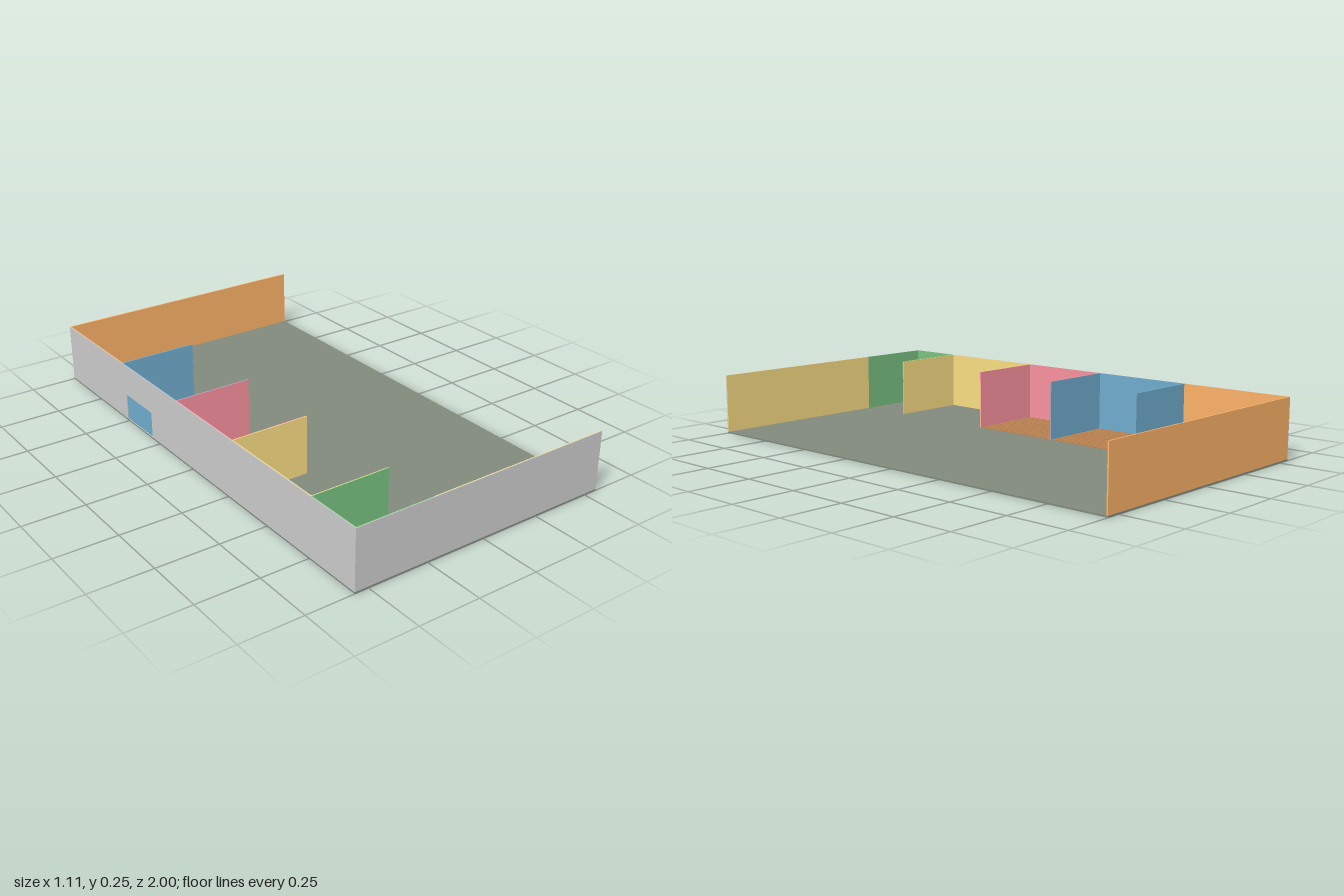
import * as THREE from 'three';

const W = 0.556, H = 0.245, FLOOR = 0.006, T = 0.003; // half width, wall height, floor and panel thickness
const ROOM_X = -0.23; // open end of the partitions

const material = (color) => new THREE.MeshStandardMaterial({ color, roughness: 1 });
const mats = {
  grey: material(0xcccccc),
  floor: material(0x808a7c),
  brick: material(0xb8814f),
  green: material(0x78c280),
  yellow: material(0xfadd83),
  pink: material(0xfa929e),
  blue: material(0x70accd),
  orange: material(0xfcb268),
};

// Box given by its minimum and maximum along each axis
function block(name, mat, [x0, x1], [y0, y1], [z0, z1]) {
  const mesh = new THREE.Mesh(new THREE.BoxGeometry(x1 - x0, y1 - y0, z1 - z0), mat);
  mesh.position.set((x0 + x1) / 2, (y0 + y1) / 2, (z0 + z1) / 2);
  mesh.name = name;
  return mesh;
}

// Running-bond brick paving over a room floor
function brickFloor(name, z0, z1, shift) {
  const group = new THREE.Group();
  group.name = name;
  const x0 = -W + 2 * T, length = 0.14, gap = 0.002;
  group.add(block('brickBed', mats.brick, [x0, ROOM_X], [FLOOR, FLOOR + 0.001], [z0, z1]));
  const rows = Math.round((z1 - z0) / 0.028);
  const depth = (z1 - z0) / rows;
  for (let r = 0; r < rows; r++) {
    const z = z0 + r * depth;
    const start = x0 - shift - (r % 2) * length / 2;
    for (let x = start; x < ROOM_X; x += length) {
      const a = Math.max(x, x0), b = Math.min(x + length - gap, ROOM_X);
      if (b - a < 0.005) continue;
      group.add(block('brick', mats.brick, [a, b], [FLOOR + 0.001, FLOOR + 0.002], [z, z + depth - gap]));
    }
  }
  return group;
}

export function createModel() {
  const model = new THREE.Group();
  model.name = 'openFloorWithRooms';
  const wallY = [FLOOR, H];

  model.add(block('floor', mats.floor, [-W, W], [0, FLOOR], [-1, 1]));

  // Back wall, same colour on both sides
  model.add(block('backWall', mats.orange, [-W + T, W], wallY, [-1, -1 + 2 * T]));

  // Front wall: plain outside, two-colour lining inside
  model.add(block('frontWall', mats.grey, [-W, W], wallY, [1 - T, 1]));
  model.add(block('frontLiningGreen', mats.green, [-W + T, ROOM_X], wallY, [1 - 2 * T, 1 - T]));
  model.add(block('frontLiningYellow', mats.yellow, [ROOM_X, W], wallY, [1 - 2 * T, 1 - T]));

  // Outer side wall with a low doorway cut through to the lining
  const outline = new THREE.Shape([
    new THREE.Vector2(-1, FLOOR), new THREE.Vector2(1 - T, FLOOR),
    new THREE.Vector2(1 - T, H), new THREE.Vector2(-1, H),
  ]);
  outline.holes.push(new THREE.Path([
    new THREE.Vector2(-0.507, FLOOR + 0.001), new THREE.Vector2(-0.507, 0.115),
    new THREE.Vector2(-0.305, 0.115), new THREE.Vector2(-0.305, FLOOR + 0.001),
  ]));
  const side = new THREE.Mesh(
    new THREE.ExtrudeGeometry(outline, { depth: T, bevelEnabled: false }), mats.grey);
  side.name = 'sideWall';
  side.rotation.y = -Math.PI / 2; // shape x runs along z
  side.position.x = -W + T;
  model.add(side);

  // Rooms from front to back: lining colour and z range
  const rooms = [
    ['green', 1 - 2 * T, 0.76],
    ['yellow', 0.76, 0.283],
    ['pink', 0.283, -0.107],
    ['blue', -0.107, -0.53],
    ['orange', -0.53, -1 + 2 * T],
  ];
  rooms.forEach(([color, z1, z0], i) => {
    model.add(block(color + 'RoomLining', mats[color], [-W + T, -W + 2 * T], wallY, [z0, z1]));
    if (i === rooms.length - 1) return;
    // Partition at the rear of the room, each face in its room's colour
    const rear = rooms[i + 1][0] === 'orange' ? 'blue' : rooms[i + 1][0];
    const x = [-W + 2 * T, ROOM_X];
    model.add(block(color + 'PartitionFront', mats[color], x, wallY, [z0, z0 + T]));
    model.add(block(color + 'PartitionRear', mats[rear], x, wallY, [z0 - T, z0]));
  });

  // Paved floors of the two middle rooms
  model.add(brickFloor('pinkRoomPaving', -0.104, 0.28, 0.04));
  model.add(brickFloor('blueRoomPaving', -0.527, -0.11, 0));
  return model;
}
